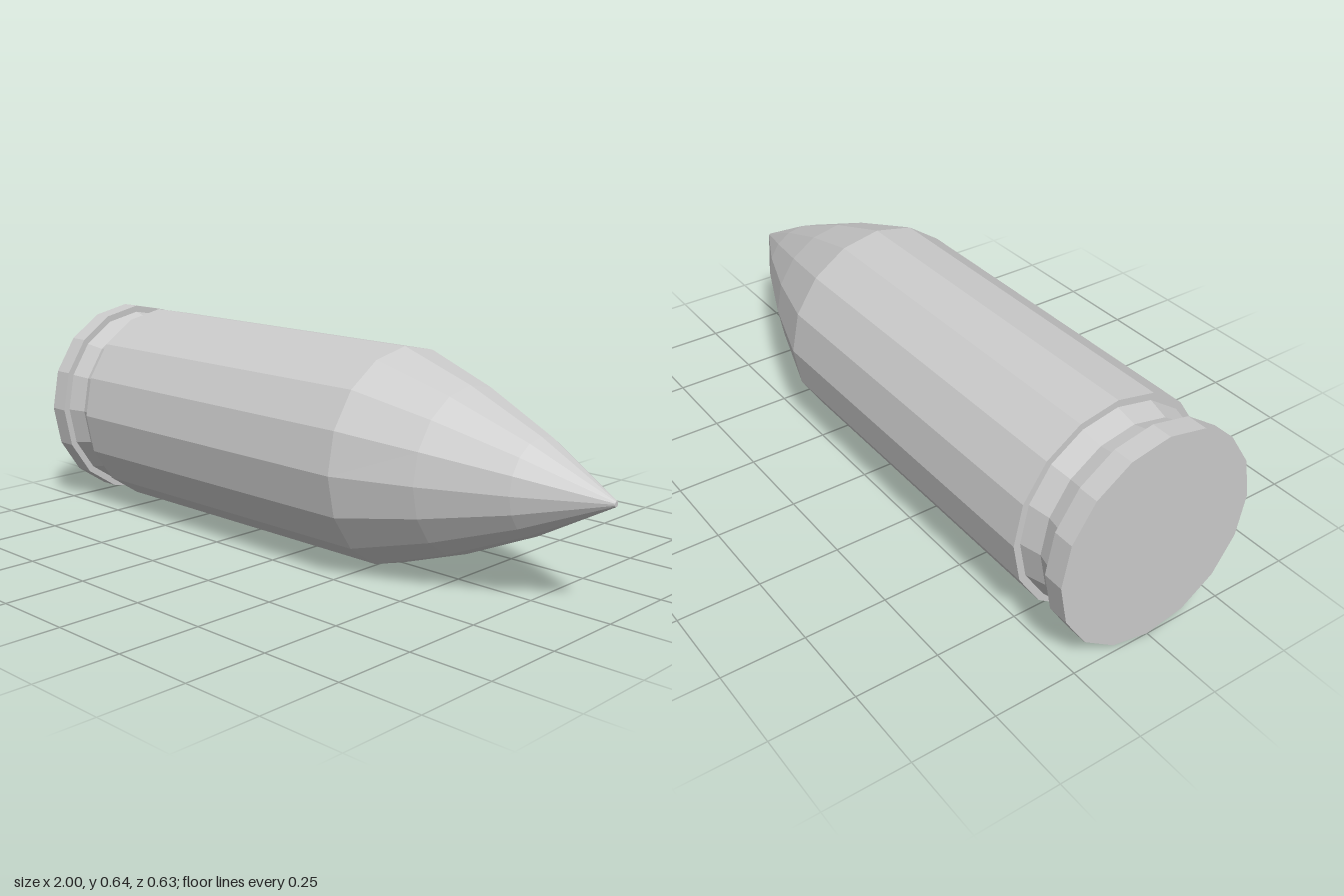
import * as THREE from 'three';

const SIDES = 16;
const RY = 0.3214, RZ = 0.3145; // slightly oval cross-section
const CENTRE_Y = 0.3235;

export function createModel() {
  const group = new THREE.Group();
  group.name = 'cartridge';
  const material = new THREE.MeshStandardMaterial({ color: 0xcccccc, flatShading: true });

  // Turns a profile of [x along the axis, fraction of full radius] around the x axis
  function addTurned(name, profile) {
    const points = profile.map(([x, r]) => new THREE.Vector2(r, x));
    const geometry = new THREE.LatheGeometry(points, SIDES);
    geometry.rotateZ(-Math.PI / 2);
    geometry.scale(1, RY, RZ);
    geometry.translate(0, CENTRE_Y, 0);
    const mesh = new THREE.Mesh(geometry, material);
    mesh.name = name;
    group.add(mesh);
  }

  // Flat base with its rim
  addTurned('rim', [[-1, 0], [-1, 1], [-0.938, 1], [-0.938, 0.935]]);
  // V-shaped extractor groove
  addTurned('extractorGroove', [[-0.938, 0.935], [-0.876, 0.885], [-0.814, 0.935]]);
  // Straight case wall
  addTurned('caseBody', [[-0.814, 0.935], [-0.814, 1], [0.29, 1]]);
  // Curved nose ending in a tiny flat tip
  addTurned('bulletNose', [[0.29, 1], [0.527, 0.75], [0.765, 0.425], [1, 0.024], [1, 0]]);

  return group;
}
